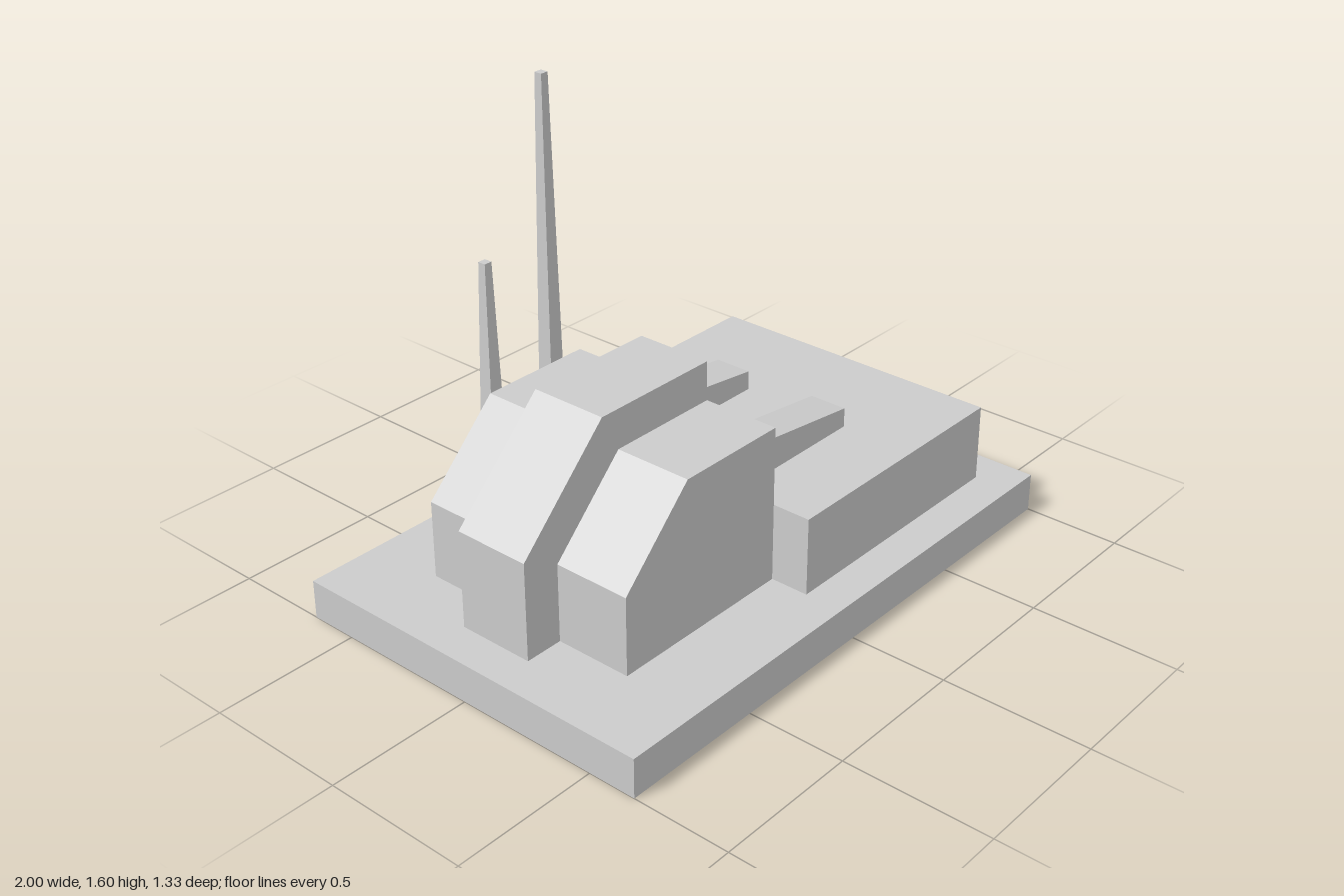
import * as THREE from 'three';

const U = 1 / 15; // layout module

export function createModel() {
  const root = new THREE.Group();
  root.name = 'factory';
  const material = new THREE.MeshStandardMaterial({ color: 0xcccccc, flatShading: true });

  const add = (name, geometry) => {
    const mesh = new THREE.Mesh(geometry, material);
    mesh.name = name;
    root.add(mesh);
  };

  // Box from its lower and upper corners, in modules
  const block = (name, [x0, y0, z0], [x1, y1, z1]) => {
    const g = new THREE.BoxGeometry((x1 - x0) * U, (y1 - y0) * U, (z1 - z0) * U);
    add(name, g.translate((x0 + x1) / 2 * U, (y0 + y1) / 2 * U, (z0 + z1) / 2 * U));
  };

  // Side profile (x, y) extruded from z0 to z1, in modules
  const prism = (name, profile, z0, z1) => {
    const shape = new THREE.Shape(profile.map(([x, y]) => new THREE.Vector2(x * U, y * U)));
    const g = new THREE.ExtrudeGeometry(shape, { depth: (z1 - z0) * U, bevelEnabled: false });
    add(name, g.translate(0, 0, z0 * U));
  };

  // Base slab and low front hall
  block('base', [-15, 0, -10], [15, 2, 10]);
  block('lowHall', [-1, 2, -8], [13, 6, 8]);

  // Tall central spine with a sloped end
  prism('centralHall', [[-13, 2], [-1, 2], [-1, 12], [-8, 12], [-13, 7]], -2, 2);

  // Mirrored side halls and sloped roof ducts
  const hall = [[-11, 2], [-1, 2], [-1, 10], [-7, 10], [-11, 6]];
  const duct = [[-1, 6], [7, 6], [7, 7], [-1, 8]];
  for (const [side, s] of [['left', 1], ['right', -1]]) {
    prism(side + 'SideHall', hall, s > 0 ? 2 : -6, s > 0 ? 6 : -2);
    prism(side + 'RoofDuct', duct, s > 0 ? 2 : -4, s > 0 ? 4 : -2);
  }

  // Tapered square chimneys on plinths along the back
  for (const [name, x, top] of [['short', -6, 16], ['tall', -2, 24]]) {
    block(name + 'ChimneyPlinth', [x - 1, 2, -8], [x + 1, 4, -6]);
    const h = (top - 4) * U;
    const g = new THREE.CylinderGeometry(0.014 * Math.SQRT2, 0.032 * Math.SQRT2, h, 4);
    g.rotateY(Math.PI / 4).translate(x * U, 4 * U + h / 2, -7 * U);
    add(name + 'Chimney', g);
  }
  return root;
}
